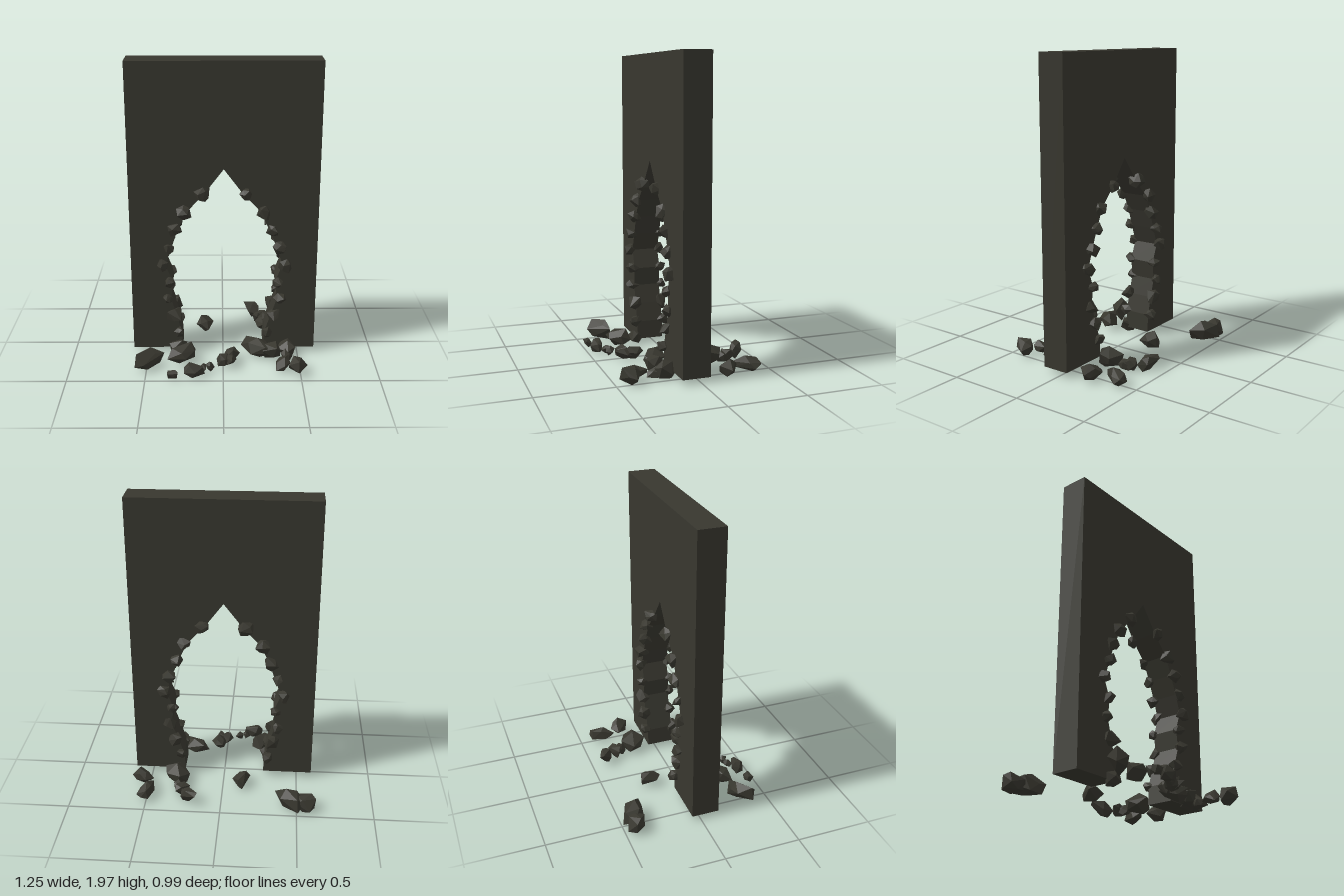
import * as THREE from 'three';
import { ConvexGeometry } from 'three/addons/geometries/ConvexGeometry.js';

const stone = new THREE.MeshStandardMaterial({ color: 0x38372f, flatShading: true });
stone.name = 'dark stone';

// small seeded generator for the chipped shapes
let seed = 7;
const rand = () => {
  seed = (seed * 16807) % 2147483647;
  return seed / 2147483647;
};

// irregular convex rock with half sizes hx, hy, hz; yaw makes it long on a diagonal
function rock(name, x, y, z, hx, hy, hz, yaw) {
  const base = new THREE.IcosahedronGeometry(1, 0).getAttribute('position');
  const unique = new Map();
  for (let i = 0; i < base.count; i++) {
    const v = new THREE.Vector3().fromBufferAttribute(base, i);
    unique.set(v.toArray().map((n) => n.toFixed(2)).join(), v);
  }
  const turn = new THREE.Euler(rand() * 6, rand() * 6, rand() * 6);
  const up = new THREE.Vector3(0, 1, 0);
  const points = [...unique.values()].map((v) => {
    v.applyEuler(turn);
    v.add(new THREE.Vector3(rand() - 0.5, rand() - 0.5, rand() - 0.5).multiplyScalar(0.6));
    if (yaw) {
      v.x *= 1.8;
      v.applyAxisAngle(up, yaw);
    }
    return v;
  });
  const box = new THREE.Box3().setFromPoints(points);
  const mid = box.getCenter(new THREE.Vector3());
  const fit = new THREE.Vector3(hx, hy, hz).multiplyScalar(2).divide(box.getSize(new THREE.Vector3()));
  points.forEach((p) => p.sub(mid).multiply(fit));
  const mesh = new THREE.Mesh(new ConvexGeometry(points), stone);
  mesh.name = name;
  mesh.position.set(x, y, z);
  return mesh;
}

// edge stones from the foot up, evenly spaced: x and radius
const leftEdge = [
  [-0.295, 0.035], [-0.325, 0.05], [-0.36, 0.036], [-0.345, 0.035], [-0.395, 0.04],
  [-0.35, 0.034], [-0.31, 0.047], [-0.25, 0.049], [-0.138, 0.05],
];
const rightEdge = [
  [0.295, 0.035], [0.335, 0.045], [0.375, 0.045], [0.36, 0.035], [0.405, 0.045],
  [0.365, 0.045], [0.315, 0.04], [0.26, 0.045], [0.145, 0.043],
];
const edgeHeight = (i) => 0.18 + i * 0.122;

// slab whose broken pointed opening follows the edge stones
function wall() {
  const inset = (edge, side) => edge.map(([x], i) => [x - side * 0.017, edgeHeight(i)]);
  const outline = [
    [-0.6, 0.06], [-0.27, 0.06],
    ...inset(leftEdge, -1),
    [0.005, 1.32],
    ...inset(rightEdge, 1).reverse(),
    [0.27, 0.06], [0.612, 0.06], [0.612, 2], [-0.6, 2],
  ];
  const shape = new THREE.Shape(outline.map(([x, y]) => new THREE.Vector2(x, y)));
  const geometry = new THREE.ExtrudeGeometry(shape, { depth: 0.18, bevelEnabled: false });
  geometry.translate(0, 0, -0.057);
  const mesh = new THREE.Mesh(geometry, stone);
  mesh.name = 'wall';
  return mesh;
}

// stones lining the opening on both faces of the wall
function edgeStones() {
  const group = new THREE.Group();
  group.name = 'edgeStones';
  for (const edge of [leftEdge, rightEdge]) {
    edge.forEach(([x, r], i) => {
      group.add(rock('frontEdgeStone', x, edgeHeight(i), 0.13, r, r, 0.045));
      group.add(rock('backEdgeStone', x, edgeHeight(i), -0.063, r, r, 0.044));
    });
  }
  return group;
}

// fallen rocks: x, z, half width, half depth, optional yaw
const backRocks = [
  [-0.55, -0.42, 0.075, 0.065], [-0.455, -0.415, 0.1, 0.08, -0.5],
  [-0.125, -0.175, 0.06, 0.07], [0.21, -0.395, 0.055, 0.055, -0.8],
  [0.265, -0.315, 0.05, 0.04], [0.29, -0.28, 0.035, 0.05],
  [0.31, -0.17, 0.083, 0.088], [0.51, -0.345, 0.057, 0.085, 1],
  [0.545, -0.2, 0.075, 0.067],
];
const frontRocks = [
  [-0.48, 0.345, 0.095, 0.077, 0.6], [-0.275, 0.26, 0.09, 0.077, 0.5],
  [-0.085, 0.375, 0.03, 0.03], [-0.135, 0.39, 0.025, 0.028],
  [-0.185, 0.44, 0.067, 0.045], [-0.325, 0.465, 0.033, 0.025],
  [-0.3, 0.13, 0.06, 0.05], [0.06, 0.25, 0.052, 0.055],
  [0.005, 0.315, 0.048, 0.05], [0.05, 0.315, 0.04, 0.065],
  [0.22, 0.18, 0.1, 0.072, -0.5], [0.32, 0.195, 0.065, 0.06],
  [0.42, 0.165, 0.062, 0.075], [0.42, 0.24, 0.036, 0.05],
  [0.39, 0.335, 0.047, 0.062], [0.485, 0.41, 0.062, 0.068],
];

// rubble scattered at the foot, bigger rocks standing taller
function rubble(name, rocks) {
  const group = new THREE.Group();
  group.name = name;
  for (const [x, z, hx, hz, yaw] of rocks) {
    const hy = 0.012 + 0.7 * Math.min(hx, hz);
    group.add(rock('fallenRock', x, 0.027 + hy, z, hx, hy, hz, yaw));
  }
  return group;
}

export function createModel() {
  const model = new THREE.Group();
  model.name = 'brokenArchWall';
  model.add(wall(), edgeStones(), rubble('backRubble', backRocks), rubble('frontRubble', frontRocks));
  return model;
}
